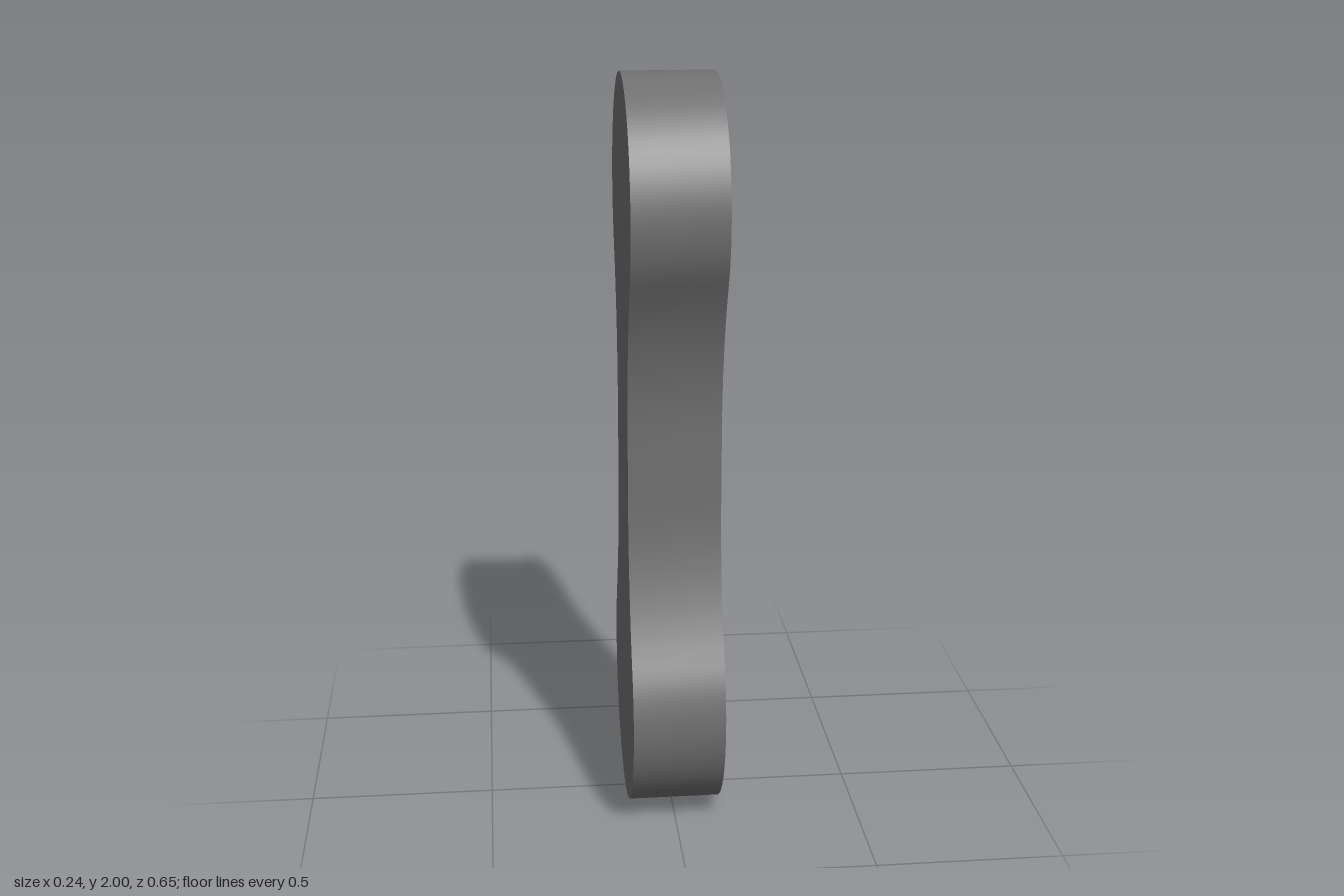
import * as THREE from 'three';
import { toCreasedNormals } from 'three/addons/utils/BufferGeometryUtils.js';

const LOBE = 0.327;       // radius of the round ends
const WAIST = 0.178;      // half width at the middle
const STRAIGHT = 0.1;     // half length of the straight part of the waist
const THICKNESS = 0.244;
const REACH = 1 - LOBE;   // distance from the middle to each lobe centre

// Radius of the fillets that run from the straight waist tangentially into the lobes
const RISE = REACH - STRAIGHT;
const FILLET = (WAIST ** 2 + RISE ** 2 - LOBE ** 2) / (2 * (LOBE - WAIST));

// Points along an arc, both ends included
function arc(cx, cy, radius, from, to, segments) {
  return Array.from({ length: segments + 1 }, (_, i) => {
    const t = from + ((to - from) * i) / segments;
    return new THREE.Vector2(cx + radius * Math.cos(t), cy + radius * Math.sin(t));
  });
}

export function createModel() {
  const group = new THREE.Group();
  group.name = 'dumbbellLink';

  // Upper half of the outline: right fillet, round lobe, left fillet
  const cx = WAIST + FILLET;
  const a = Math.atan2(RISE, cx);
  const half = [
    ...arc(cx, STRAIGHT, FILLET, Math.PI, Math.PI - a, 8).slice(0, -1),
    ...arc(0, REACH, LOBE, -a, Math.PI + a, 40),
    ...arc(-cx, STRAIGHT, FILLET, a, 0, 8).slice(1),
  ];

  // The lower half is the upper one turned half round; straight waist edges join them
  const outline = new THREE.Shape([...half, ...half.map((p) => p.clone().negate())]);

  // Flat plate standing upright, its broad faces towards the sides
  const plate = new THREE.ExtrudeGeometry(outline, { depth: THICKNESS, bevelEnabled: false });
  plate.translate(0, 1, -THICKNESS / 2);
  plate.rotateY(Math.PI / 2);

  const link = new THREE.Mesh(
    toCreasedNormals(plate, Math.PI / 6),
    new THREE.MeshStandardMaterial({ color: 0x707070 })
  );
  link.name = 'linkPlate';
  group.add(link);
  return group;
}
